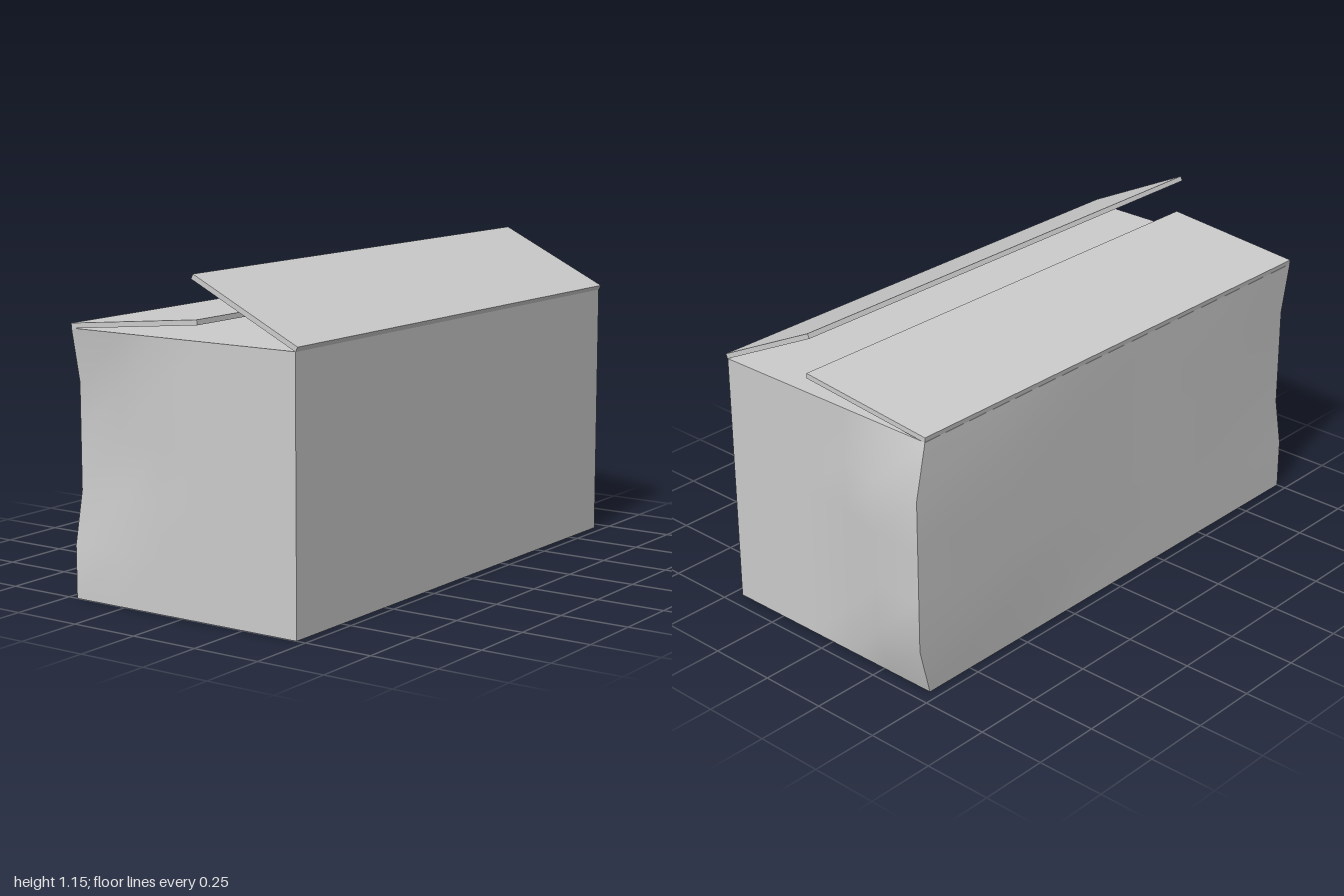
import * as THREE from 'three';

const X0 = -0.463, X1 = 0.465, H = 0.93, Z0 = -0.945, Z1 = 1, SEG = 5;

// Closed carton whose left corners are bent: bulged at the back, dented at the front
function cartonGeometry() {
  const geo = new THREE.BoxGeometry(X1 - X0, H, Z1 - Z0, SEG, SEG, SEG);
  geo.translate((X0 + X1) / 2, H / 2, (Z0 + Z1) / 2);
  const p = geo.attributes.position;
  for (let n = 0; n < p.count; n++) {
    const x = p.getX(n), y = p.getY(n), z = p.getZ(n);
    const i = Math.round((x - X0) / (X1 - X0) * SEG);
    const j = Math.round(y / H * SEG);
    const k = Math.round((z - Z0) / (Z1 - Z0) * SEG);
    // Bulged back left corner
    if (j > 0 && j < SEG) {
      if (k === 0 && i < 2) p.setZ(n, z - 0.055);
      if (i === 0 && k < 2) p.setX(n, x - 0.012);
    }
    // Dented front left corner
    if (j > 1 && j < SEG) {
      if (k === SEG && i < 2) p.setZ(n, z - 0.03);
      if (i === 0 && k === SEG) p.setX(n, x + 0.006);
    }
  }
  geo.computeVertexNormals();
  return geo;
}

export function createModel() {
  const group = new THREE.Group();
  const material = new THREE.MeshStandardMaterial({ color: 0xcccccc });

  const carton = new THREE.Mesh(cartonGeometry(), material);
  carton.name = 'carton';
  group.add(carton);

  // Lid flaps, hinged on the long top edges: side is the sign of x
  const addFlap = (name, side, hingeX, length, angle) => {
    const geo = new THREE.BoxGeometry(length, 0.018, Z1 - Z0);
    geo.translate(-side * length / 2, 0.009, (Z0 + Z1) / 2);
    const flap = new THREE.Mesh(geo, material);
    flap.position.set(hingeX, 0.929, 0);
    flap.rotation.z = -side * angle;
    flap.name = name;
    group.add(flap);
  };
  addFlap('leftFlap', 1, 0.466, 0.46, 0.452);
  addFlap('rightFlap', -1, -0.462, 0.54, 0.098);

  return group;
}
